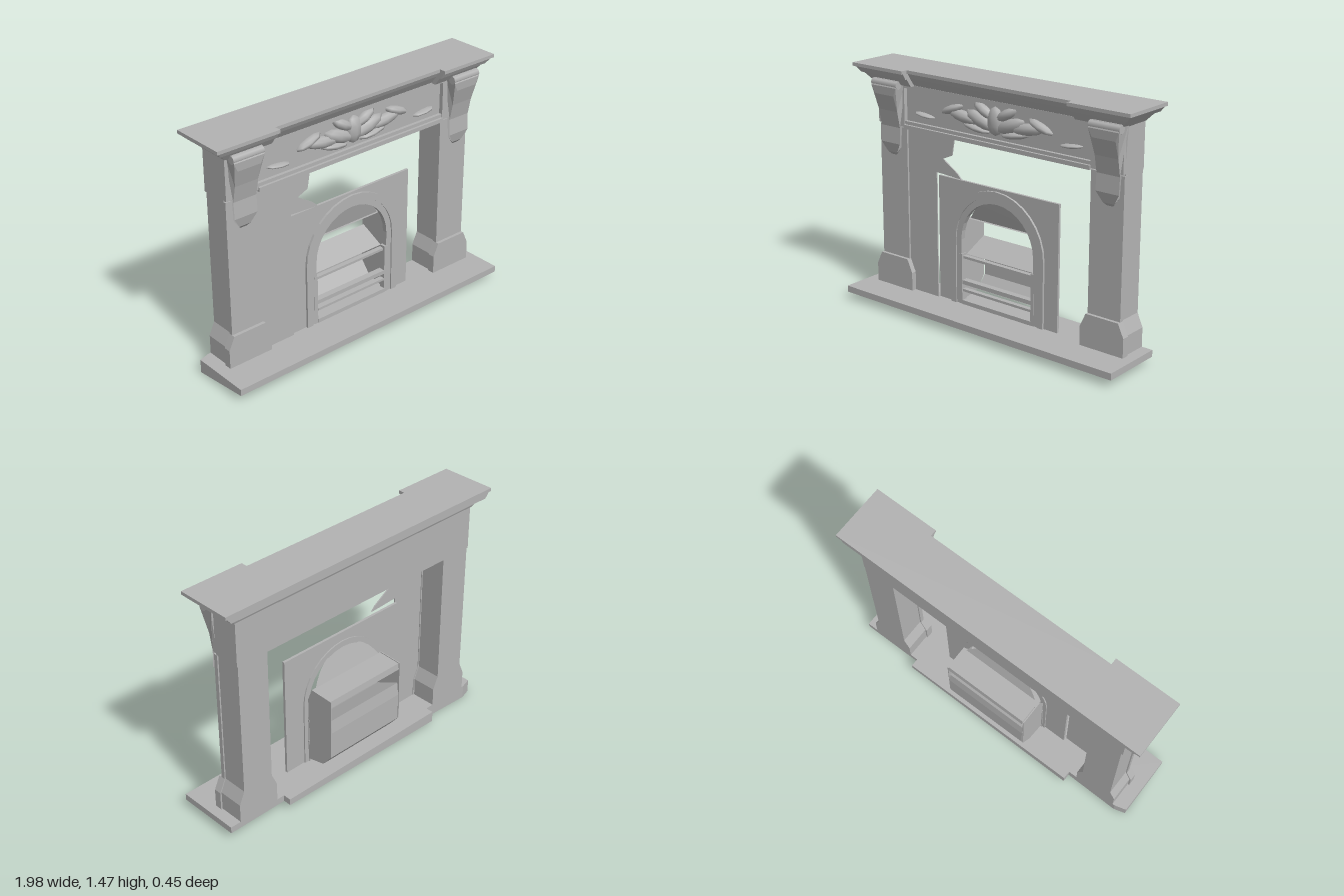
import * as THREE from 'three';

export function createModel() {
  const model = new THREE.Group();
  model.name = 'fireplace';
  const stone = new THREE.MeshStandardMaterial({ color: 0xb2b2b2 });
  stone.name = 'grey stone';
  stone.side = THREE.DoubleSide;

  const add = (name, geo, x = 0, y = 0, z = 0, parent = model) => {
    const mesh = new THREE.Mesh(geo, stone);
    mesh.name = name;
    mesh.position.set(x, y, z);
    parent.add(mesh);
    return mesh;
  };
  // Box given by its limits
  const box = (name, x0, x1, y0, y1, z0, z1) => add(name,
    new THREE.BoxGeometry(x1 - x0, y1 - y0, z1 - z0), (x0 + x1) / 2, (y0 + y1) / 2, (z0 + z1) / 2);
  const shape = pts => new THREE.Shape(pts.map(p => new THREE.Vector2(...p)));
  const extrude = (pts, depth) => new THREE.ExtrudeGeometry(shape(pts), { depth, bevelEnabled: false });
  // Upright plate: outline in x,y between two depths
  const plate = (name, pts, z0, z1) => add(name, extrude(pts, z1 - z0), 0, 0, z0);
  // Flat slab: outline in x,z between two heights
  const slab = (pts, y0, y1) =>
    extrude(pts.map(([x, z]) => [x, -z]), y1 - y0).rotateX(-Math.PI / 2).translate(0, y0, 0);
  // Move the vertices of a geometry by a rule
  const reshape = (geo, rule) => {
    const p = geo.attributes.position;
    const v = new THREE.Vector3();
    for (let i = 0; i < p.count; i++) {
      rule(v.fromBufferAttribute(p, i));
      p.setXYZ(i, v.x, v.y, v.z);
    }
    geo.computeVertexNormals();
    return geo;
  };
  const clamp = THREE.MathUtils.clamp;

  // Hearth: stepped back edge, underside dropping to one rear corner
  const hearth = slab([[-0.99, 0.245], [0.99, 0.245], [0.99, -0.15], [0.6, -0.15], [0.6, -0.2],
    [-0.58, -0.2], [-0.58, -0.15], [-0.92, -0.15], [-0.99, -0.13]], 0.045, 0.085);
  add('hearth', reshape(hearth, v => {
    if (v.y < 0.06) v.y -= 0.045 * clamp(-v.x / 0.92, 0, 1) * clamp((0.245 - v.z) / 0.39, 0, 1);
  }));

  // Legs: flared feet, pilaster face and raised plinth
  for (const [cx, side] of [[-0.77, 'right'], [0.785, 'left']]) {
    const outline = (w, f) => [[cx - f, 0.085], [cx + f, 0.085], [cx + f, 0.2], [cx + w, 0.28],
      [cx + w, 1.1], [cx - w, 1.1], [cx - w, 0.28], [cx - f, 0.2]];
    plate(side + 'Leg', outline(0.1, 0.135), -0.15, 0.005);
    plate(side + 'Pilaster', outline(0.108, 0.145), 0.005, 0.03);
    plate(side + 'Plinth', outline(0.108, 0.145).slice(0, 4).concat([[cx - 0.108, 0.28], [cx - 0.145, 0.2]]), 0.03, 0.05);
  }

  // Inner slip with a broken upper edge
  plate('innerSlip', [[-0.67, 0.085], [-0.44, 0.085], [-0.44, 0.87], [-0.25, 0.86], [-0.28, 0.89],
    [-0.39, 0.96], [-0.32, 0.99], [-0.3, 1.1], [-0.67, 1.1]], 0.01, 0.018);

  // Frieze with a recessed panel, end blocks and mouldings
  box('frieze', -0.88, 0.89, 1.1, 1.42, -0.15, 0.015);
  box('rightEndBlock', -0.88, -0.67, 1.11, 1.37, 0.01, 0.04);
  box('leftEndBlock', 0.68, 0.89, 1.11, 1.37, 0.01, 0.04);
  box('lowerMoulding', -0.67, 0.68, 1.1, 1.125, 0.01, 0.05);
  box('lowerFillet', -0.67, 0.68, 1.125, 1.145, 0.01, 0.035);
  box('upperFillet', -0.67, 0.68, 1.345, 1.37, 0.01, 0.04);

  // Cornice and mantel shelf, both standing forward at the ends
  const stepped = (x, end, mid, back) => [[-x, end], [-0.59, end], [-0.59, mid], [0.59, mid],
    [0.59, end], [x, end], [x, back], [-x, back]];
  add('cornice', reshape(slab(stepped(0.94, 0.1, 0.07, -0.17), 1.365, 1.415), v => {
    if (v.y < 1.39) {
      v.z -= v.z > 0 ? 0.035 : -0.02;
      if (Math.abs(v.x) > 0.7) v.x *= 0.95;
    }
  }));
  add('shelfUnderside', reshape(slab(stepped(0.98, 0.13, 0.09, -0.2), 1.415, 1.45), v => {
    if (v.y < 1.43) {
      v.z -= v.z > 0 ? 0.02 : 0;
      if (Math.abs(v.x) > 0.7) v.x *= 0.97;
    }
  }));
  add('shelf', slab(stepped(0.99, 0.14, 0.1, -0.205), 1.45, 1.47));

  // Corbels, pointed below and spreading at the top
  for (const [cx, side] of [[-0.77, 'right'], [0.805, 'left']]) {
    const profile = [[0.02, 0.91], [0.045, 0.94], [0.06, 1.0], [0.055, 1.1], [0.075, 1.2],
      [0.105, 1.3], [0.11, 1.35], [0.09, 1.39], [0.02, 1.39], [0.02, 1.0]];
    const geo = extrude(profile, 0.15).translate(0, 0, -0.075).rotateY(-Math.PI / 2);
    add(side + 'Corbel', reshape(geo, v => {
      v.x *= v.y < 0.99 ? clamp((v.y - 0.9) / 0.08, 0.1, 0.9) : v.y > 1.33 ? 1.3 : 1;
    }), cx);
    add(side + 'Scroll', new THREE.CylinderGeometry(0.025, 0.025, 0.2, 8).rotateZ(Math.PI / 2), cx, 1.365, 0.085);
  }

  // Carved swag of leaves, mirrored about the centre
  const carving = new THREE.Group();
  carving.name = 'carving';
  model.add(carving);
  const leaf = (x, y, l, h, turn) => {
    const m = add('leaf', new THREE.SphereGeometry(1, 8, 5), x, y, 0.02, carving);
    m.scale.set(l, h, 0.035);
    m.rotation.z = turn;
  };
  leaf(0.01, 1.25, 0.055, 0.085, 0);
  for (const s of [-1, 1]) {
    leaf(0.01 + s * 0.11, 1.24, 0.11, 0.04, s * 0.35);
    leaf(0.01 + s * 0.08, 1.3, 0.08, 0.03, s * 0.5);
    leaf(0.01 + s * 0.23, 1.24, 0.12, 0.035, s * 0.15);
    leaf(0.01 + s * 0.32, 1.27, 0.09, 0.025, s * -0.35);
    leaf(0.01 + s * 0.14, 1.19, 0.1, 0.02, s * 0.15);
    leaf(0.01 + s * 0.53, 1.2, 0.08, 0.012, s * 0.1);
  }

  // Cast insert: plate with an arched opening and two raised rings
  const cx = 0.01;
  const arch = (r, spring, y0, n = 16) => {
    const pts = [[cx + r, y0]];
    for (let i = 0; i <= n; i++) {
      const a = Math.PI * i / n;
      pts.push([cx + r * Math.cos(a), spring + r * Math.sin(a)]);
    }
    return [...pts, [cx - r, y0]];
  };
  const opening = arch(0.285, 0.49, 0.085);
  plate('insertPlate', [[-0.435, 0.085], [-0.435, 0.85], [0.45, 0.85], [0.45, 0.085], ...opening], -0.012, 0.004);
  plate('outerArchRing', [...arch(0.345, 0.49, 0.085), ...arch(0.305, 0.49, 0.085).reverse()], 0.004, 0.018);
  plate('innerArchRing', [...arch(0.305, 0.49, 0.085), ...arch(0.268, 0.49, 0.085).reverse()], -0.02, 0.01);

  // Hood under the arch, leaning back towards its lower edge
  const hoodPts = arch(0.275, 0.49, 0.085).filter(p => p[1] > 0.64);
  const hood = new THREE.ShapeGeometry(shape([[cx + 0.25, 0.61], ...hoodPts, [cx - 0.25, 0.61]]));
  add('hood', reshape(hood, v => { v.z = -0.012 - 0.045 * clamp((0.76 - v.y) / 0.15, 0, 1); }));

  // Open firebox: strips across x following a depth and height path
  const strip = (name, path, x0, x1) => {
    const geo = new THREE.PlaneGeometry(1, 1, 1, path.length - 1).toNonIndexed();
    const n = path.length - 1;
    add(name, reshape(geo, v => {
      const [z, y] = path[Math.round((0.5 - v.y) * n)];
      v.set(v.x > 0 ? x1 : x0, y, z);
    }));
  };
  strip('fireboxTop', [[-0.05, 0.605], [-0.2, 0.6], [-0.205, 0.56]], -0.26, 0.28);
  strip('fireBack', [[-0.04, 0.385], [-0.195, 0.46], [-0.205, 0.38], [-0.205, 0.21], [-0.14, 0.13]], -0.26, 0.28);
  const cheek = [[-0.01, 0.1], [-0.14, 0.13], [-0.205, 0.21], [-0.205, 0.6], [-0.05, 0.605], [-0.01, 0.5]];
  for (const x of [-0.265, 0.285]) {
    add('fireboxCheek', extrude(cheek, 0.006).rotateY(-Math.PI / 2), x);
  }

  // Grate rails, uprights and ash guard
  box('topRail', -0.27, 0.29, 0.37, 0.385, -0.03, 0.0);
  box('lowerRail', -0.27, 0.29, 0.21, 0.235, -0.03, 0.01);
  box('ashGuard', -0.25, 0.27, 0.085, 0.11, -0.02, 0.015);
  box('ashLip', -0.25, 0.27, 0.165, 0.18, -0.02, 0.01);
  for (const x of [-0.265, 0.275]) box('grateUpright', x - 0.012, x + 0.012, 0.085, 0.4, -0.025, 0.012);

  return model;
}
